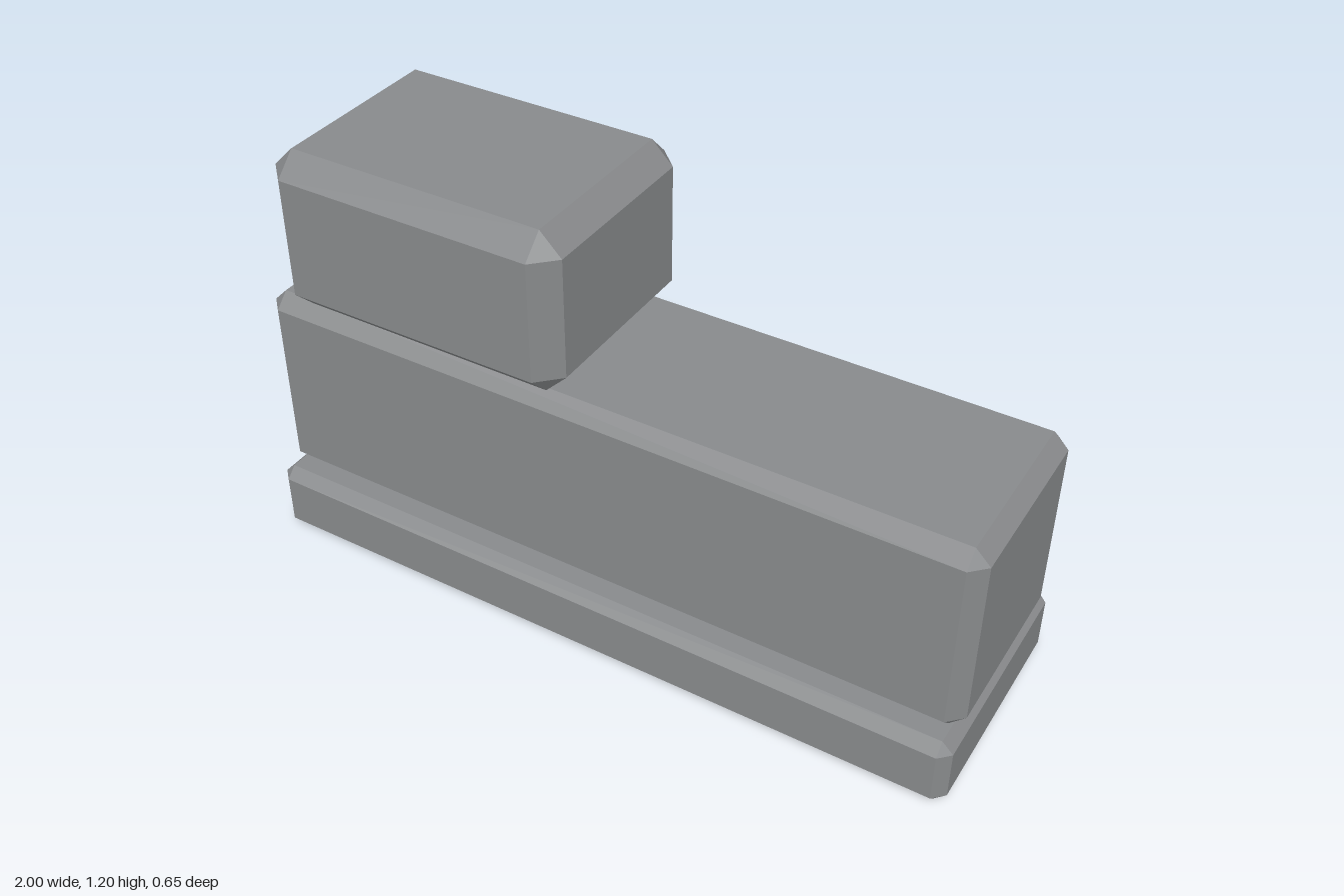
import * as THREE from 'three';
import { ConvexGeometry } from 'three/addons/geometries/ConvexGeometry.js';

// Box with every edge cut at 45 degrees: the hull of its six inset faces
function chamferedBox(width, height, depth, cut) {
  const half = [width / 2, height / 2, depth / 2];
  const points = [];
  for (let axis = 0; axis < 3; axis++) {
    for (const sx of [-1, 1]) for (const sy of [-1, 1]) for (const sz of [-1, 1]) {
      const p = [sx, sy, sz].map((s, i) => s * (half[i] - (i === axis ? 0 : cut)));
      points.push(new THREE.Vector3(...p));
    }
  }
  return new ConvexGeometry(points);
}

export function createModel() {
  const group = new THREE.Group();
  group.name = 'steppedBlocks';

  const stone = new THREE.MeshStandardMaterial({ color: 0x888a8c });
  stone.name = 'stone grey';

  // Stacked from the ground up
  const blocks = [
    { name: 'basePlinth', x: 0, y: 0, size: [2, 0.2, 0.65], cut: 0.03 },
    { name: 'longBody', x: 0, y: 0.2, size: [2, 0.55, 0.55], cut: 0.04 },
    { name: 'upperBlock', x: -0.5, y: 0.75, size: [0.84, 0.45, 0.61], cut: 0.06 },
  ];
  for (const { name, x, y, size, cut } of blocks) {
    const mesh = new THREE.Mesh(chamferedBox(...size, cut), stone);
    mesh.name = name;
    mesh.position.set(x, y + size[1] / 2, 0);
    group.add(mesh);
  }
  return group;
}
